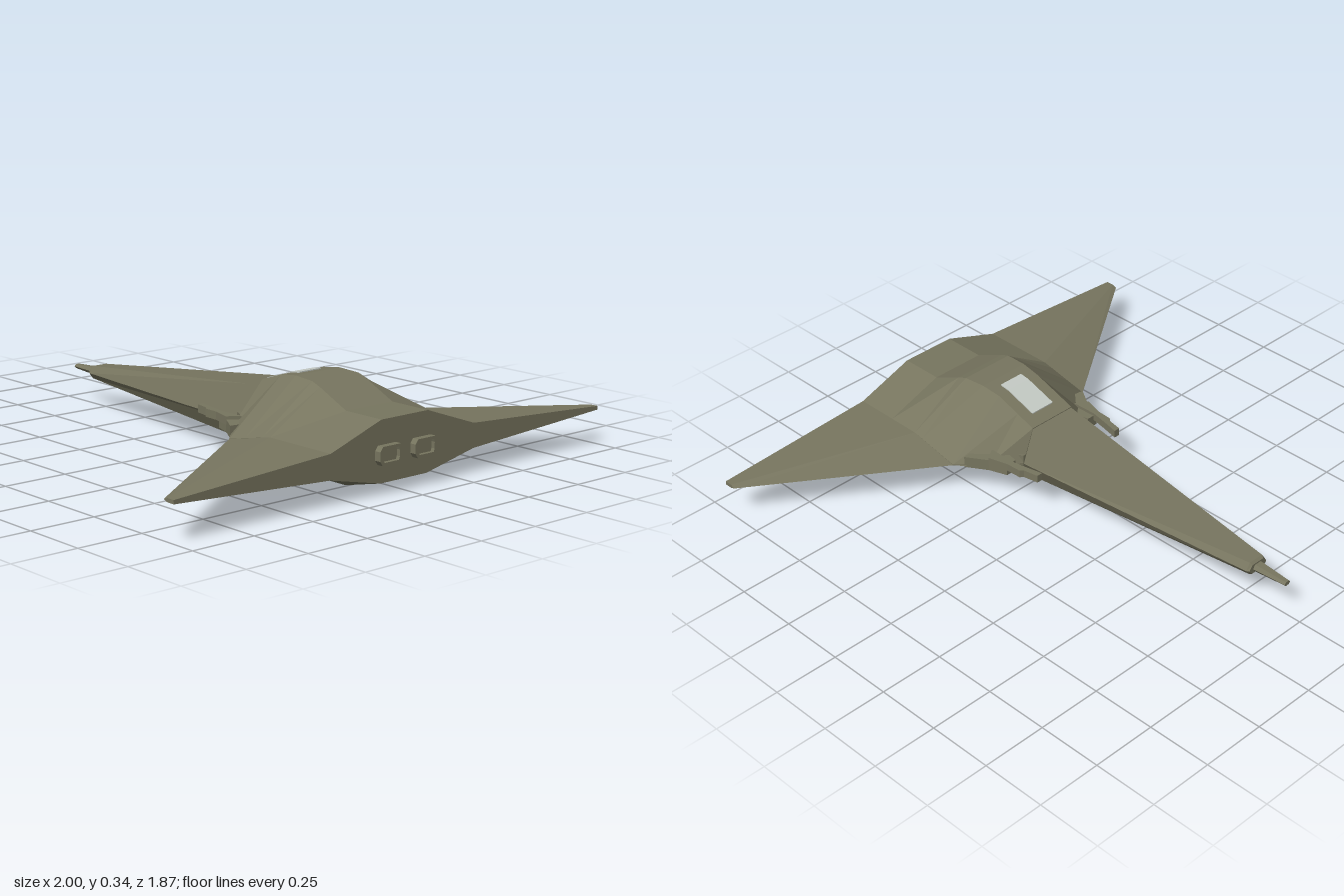
import * as THREE from 'three';

const hullMat = new THREE.MeshStandardMaterial({ color: 0x77755f, flatShading: true });
const glassMat = new THREE.MeshStandardMaterial({ color: 0xc4cac4, flatShading: true, side: THREE.DoubleSide });

// Skin a row of closed rings and cap both ends
function loft(rings) {
  const n = rings[0].length, pos = rings.flat(2), idx = [];
  for (let r = 0; r < rings.length - 1; r++) {
    for (let i = 0; i < n; i++) {
      const a = r * n + i, b = r * n + (i + 1) % n;
      idx.push(a, a + n, b + n, a, b + n, b);
    }
  }
  const last = (rings.length - 1) * n;
  for (let i = 1; i < n - 1; i++) idx.push(0, i, i + 1, last, last + i + 1, last + i);
  const g = new THREE.BufferGeometry();
  g.setAttribute('position', new THREE.Float32BufferAttribute(pos, 3));
  g.setIndex(idx);
  const flat = g.toNonIndexed();
  flat.computeVertexNormals();
  return flat;
}

// Symmetric ring at depth z from right-side points listed bottom to top
const section = (z, half) => [
  ...half.map(([x, y]) => [x, y, z]),
  ...half.map(([x, y]) => [-x, y, z]).reverse(),
];

const mirrorRings = (rings) => rings.map((r) => r.map(([x, y, z]) => [-x, y, z]).reverse());

// Flat plate from an outline in x, z
function plate(points, top, depth, side) {
  const shape = new THREE.Shape(points.map(([x, z]) => new THREE.Vector2(x * side, z)));
  return new THREE.ExtrudeGeometry(shape, { depth, bevelEnabled: false })
    .rotateX(Math.PI / 2).translate(0, top, 0);
}

export function createModel() {
  const model = new THREE.Group();
  const add = (name, geometry, material = hullMat, parent = model) => {
    const mesh = new THREE.Mesh(geometry, material);
    mesh.name = name;
    parent.add(mesh);
    return mesh;
  };

  // Central hull with raised canopy: z, bottom, lower and upper shoulder, top
  add('hull', loft([
    section(0.91, [[0.11, 0.04], [0.34, 0.09], [0.34, 0.18], [0.11, 0.26]]),
    section(0.74, [[0.11, 0], [0.34, 0.09], [0.34, 0.18], [0.11, 0.26]]),
    section(0.61, [[0.11, 0], [0.34, 0.09], [0.34, 0.18], [0.11, 0.32]]),
    section(0.57, [[0.11, 0], [0.34, 0.1], [0.34, 0.172], [0.11, 0.335]]),
    section(0.48, [[0.11, 0], [0.34, 0.118], [0.34, 0.153], [0.105, 0.34]]),
    section(0.4, [[0.11, 0.017], [0.34, 0.134], [0.34, 0.137], [0.1, 0.33]]),
    section(0.3, [[0.11, 0.042], [0.25, 0.13], [0.24, 0.145], [0.1, 0.297]]),
    section(0.22, [[0.11, 0.06], [0.15, 0.13], [0.15, 0.14], [0.1, 0.27]]),
  ]));

  // Long tapering nose and its tip
  add('noseBoom', loft([
    section(0.23, [[0.11, 0.06], [0.15, 0.135], [0.1, 0.268]]),
    section(-0.79, [[0.032, 0.112], [0.05, 0.135], [0.032, 0.162]]),
    section(-0.8, [[0.028, 0.117], [0.045, 0.135], [0.028, 0.155]]),
  ]));
  add('noseTip', loft([
    section(-0.79, [[0.015, 0.12], [0.026, 0.135], [0.015, 0.15]]),
    section(-0.935, [[0.008, 0.127], [0.015, 0.135], [0.008, 0.143]]),
  ]));

  // Canopy window following the roof slope
  const roof = [[0.27, 0.287], [0.3, 0.297], [0.4, 0.33], [0.44, 0.335]];
  add('canopyWindow', loft(roof.reverse().map(([z, y]) =>
    section(z, [[0.052, y - 0.004], [0.052, y + 0.004]]))), glassMat);

  // Wing rings from tip to root
  const wing = [
    [[1, 0.135, 0.86], [1, 0.142, 0.88], [1, 0.142, 0.91], [1, 0.128, 0.91], [1, 0.128, 0.88]],
    [[0.34, 0.135, 0.4], [0.34, 0.18, 0.61], [0.34, 0.18, 0.91], [0.34, 0.09, 0.91], [0.34, 0.09, 0.61]],
  ];
  add('leftWing', loft(wing));
  add('rightWing', loft(mirrorRings(wing)));

  for (const side of [1, -1]) {
    const label = side > 0 ? 'left' : 'right';

    // Cheek beside the nose, with a forward prong
    const cheek = new THREE.Group();
    cheek.name = label + 'Cheek';
    model.add(cheek);
    add('cheekBlock', plate(
      [[0.1, 0.4], [0.31, 0.37], [0.26, 0.29], [0.235, 0.22], [0.19, 0.22], [0.18, 0.28], [0.15, 0.22], [0.1, 0.22]],
      0.172, 0.045, side), hullMat, cheek);
    add('prong', plate(
      [[0.215, 0.32], [0.262, 0.29], [0.24, 0.21], [0.237, 0.15], [0.225, 0.14], [0.214, 0.08], [0.19, 0.08], [0.205, 0.15], [0.218, 0.22]],
      0.184, 0.03, side), hullMat, cheek);

    // Engine nozzle: open frame with bowed sides and a recessed plate
    const nozzle = new THREE.Group();
    nozzle.name = label + 'Nozzle';
    nozzle.position.set(0.083 * side, 0.14, 0.9);
    model.add(nozzle);
    const outline = (w, h, bow) => [
      [w, -h], [w + bow, -h * 0.5], [w + bow, h * 0.5], [w, h],
      [-w, h], [-w - bow, h * 0.5], [-w - bow, -h * 0.5], [-w, -h],
    ].map(([x, y]) => new THREE.Vector2(x, y));
    const frame = new THREE.Shape(outline(0.042, 0.033, 0.012));
    frame.holes.push(new THREE.Path(outline(0.034, 0.023, 0.004).reverse()));
    add('nozzleFrame', new THREE.ExtrudeGeometry(frame, { depth: 0.035, bevelEnabled: false }), hullMat, nozzle);
    add('nozzlePlate', new THREE.BoxGeometry(0.078, 0.05, 0.02).translate(0, 0, 0.01), hullMat, nozzle);
  }
  return model;
}
